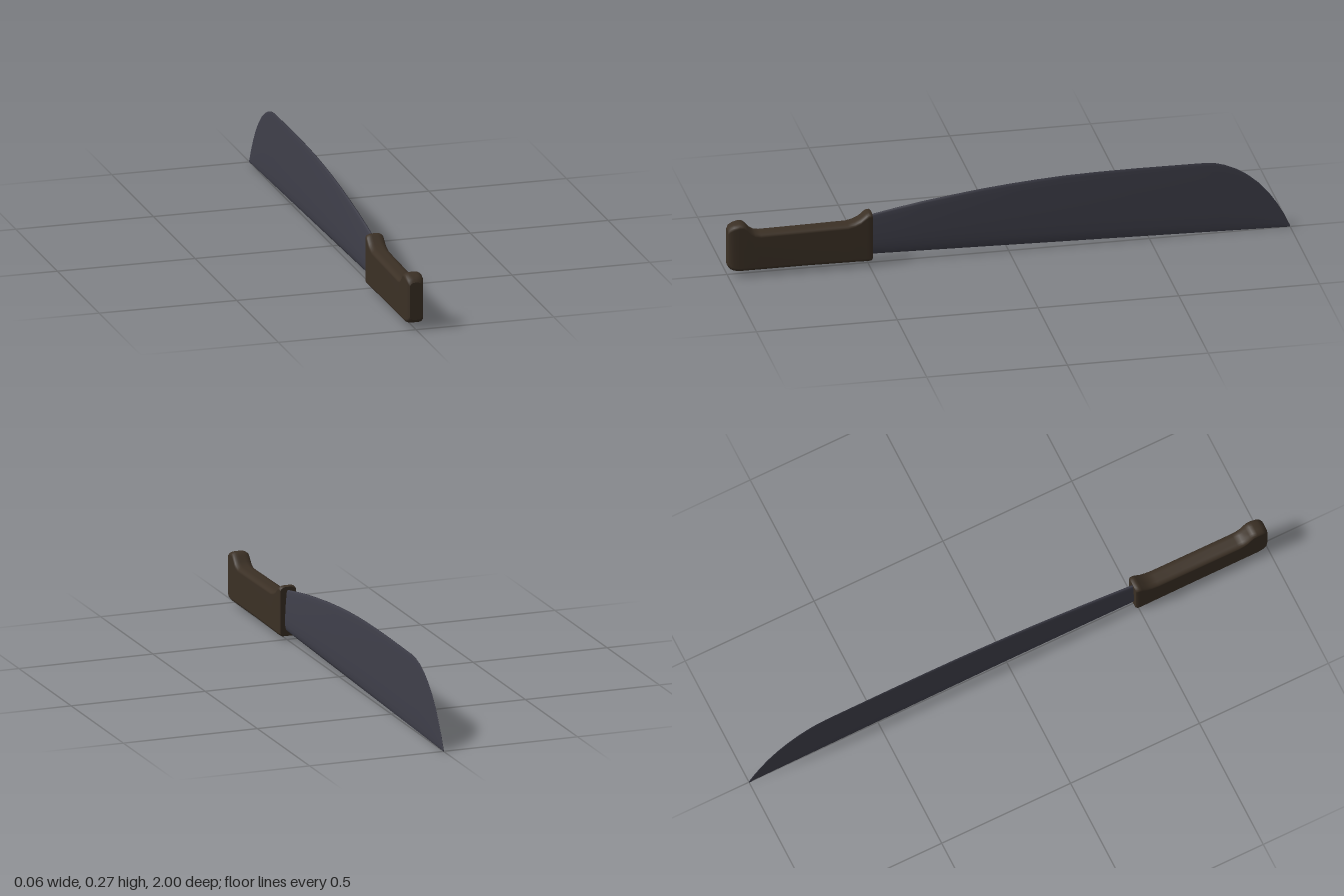
import * as THREE from 'three';

// Skins closed rings (counter-clockwise seen from +z) ordered from +z to -z, with flat end caps.
function loft(rings, material, name) {
  const n = rings[0].length, pos = [], idx = [];
  rings.forEach(r => r.forEach(p => pos.push(...p)));
  for (let i = 0; i < rings.length - 1; i++) {
    for (let j = 0; j < n; j++) {
      const a = i * n + j, b = i * n + (j + 1) % n;
      idx.push(a, a + n, b, b, a + n, b + n);
    }
  }
  [rings[0], rings[rings.length - 1]].forEach((ring, end) => {
    const start = pos.length / 3;
    ring.forEach(p => pos.push(...p));
    for (let j = 1; j < n - 1; j++) {
      if (end) idx.push(start, start + j + 1, start + j);
      else idx.push(start, start + j, start + j + 1);
    }
  });
  const geo = new THREE.BufferGeometry();
  geo.setAttribute('position', new THREE.Float32BufferAttribute(pos, 3));
  geo.setIndex(idx);
  geo.computeVertexNormals();
  const mesh = new THREE.Mesh(geo, material);
  mesh.name = name;
  return mesh;
}

// Rectangle with elliptical corners: half width w, from y0 to y1.
function roundedRing(z, y0, y1, w) {
  const ring = [], steps = 5;
  const corners = [[1, 1], [-1, 1], [-1, -1], [1, -1]];
  corners.forEach(([sx, sy], c) => {
    const rx = sy > 0 ? 0.022 : 0.015, ry = 0.014;
    for (let k = 0; k <= steps; k++) {
      const a = (c + k / steps) * Math.PI / 2;
      ring.push([
        sx * Math.max(w - rx, 0.002) + Math.min(rx, w - 0.002) * Math.cos(a),
        (sy > 0 ? y1 - ry : y0 + ry) + ry * Math.sin(a),
        z,
      ]);
    }
  });
  return ring;
}

// Blade section: thin spine above, widest low down, ground edge below.
function bladeRing(z, y0, y1, w) {
  const side = [[0, 0.25], [0.05, 0.72], [0.14, 0.95], [0.3, 1], [0.5, 0.9],
    [0.7, 0.74], [0.87, 0.55], [0.96, 0.42], [1, 0.2]];
  const right = side.map(([t, s]) => [w * s, y0 + (y1 - y0) * t, z]);
  const left = right.map(([x, y]) => [-x, y, z]).reverse();
  return [...right, ...left];
}

export function createModel() {
  const gripBrown = new THREE.MeshStandardMaterial({ color: 0x3b3025 });
  gripBrown.name = 'gripBrown';
  const darkSteel = new THREE.MeshStandardMaterial({ color: 0x3f3f4a });
  darkSteel.name = 'darkSteel';

  // Grip with a raised pommel and a flared guard: z, bottom, top, half width
  const grip = [
    [1.0, 0.036, 0.172, 0.022], [0.993, 0.027, 0.184, 0.028], [0.98, 0.021, 0.191, 0.031],
    [0.96, 0.018, 0.196, 0.032], [0.945, 0.018, 0.195, 0.032], [0.933, 0.018, 0.185, 0.032],
    [0.92, 0.018, 0.169, 0.032], [0.905, 0.018, 0.16, 0.032], [0.885, 0.018, 0.156, 0.032],
    [0.72, 0.018, 0.158, 0.032], [0.575, 0.016, 0.16, 0.032], [0.55, 0.016, 0.166, 0.032],
    [0.53, 0.015, 0.175, 0.032], [0.51, 0.015, 0.192, 0.032], [0.502, 0.015, 0.197, 0.032],
    [0.493, 0.015, 0.197, 0.031], [0.488, 0.018, 0.194, 0.028],
  ];

  // Blade spine outline: z, top
  const spine = [
    [0.52, 0.176], [0.4, 0.199], [0.3, 0.216], [0.2, 0.23], [0.1, 0.243], [0, 0.253],
    [-0.1, 0.261], [-0.2, 0.267], [-0.32, 0.27], [-0.45, 0.271], [-0.6, 0.27], [-0.7, 0.269],
    [-0.735, 0.265], [-0.77, 0.255], [-0.81, 0.237], [-0.85, 0.211], [-0.89, 0.176],
    [-0.925, 0.136], [-0.955, 0.092], [-0.98, 0.048], [-1, 0.004],
  ];
  const blade = spine.map(([z, top]) => {
    const t = (0.5 - z) / 1.5; // 0 at the guard, 1 at the tip
    return bladeRing(z, Math.max(0, 0.034 * (1 - t)), top, 0.0115 - 0.0093 * t);
  });

  const group = new THREE.Group();
  group.name = 'machete';
  group.add(
    loft(grip.map(r => roundedRing(...r)), gripBrown, 'handle'),
    loft(blade, darkSteel, 'blade'),
  );
  return group;
}
